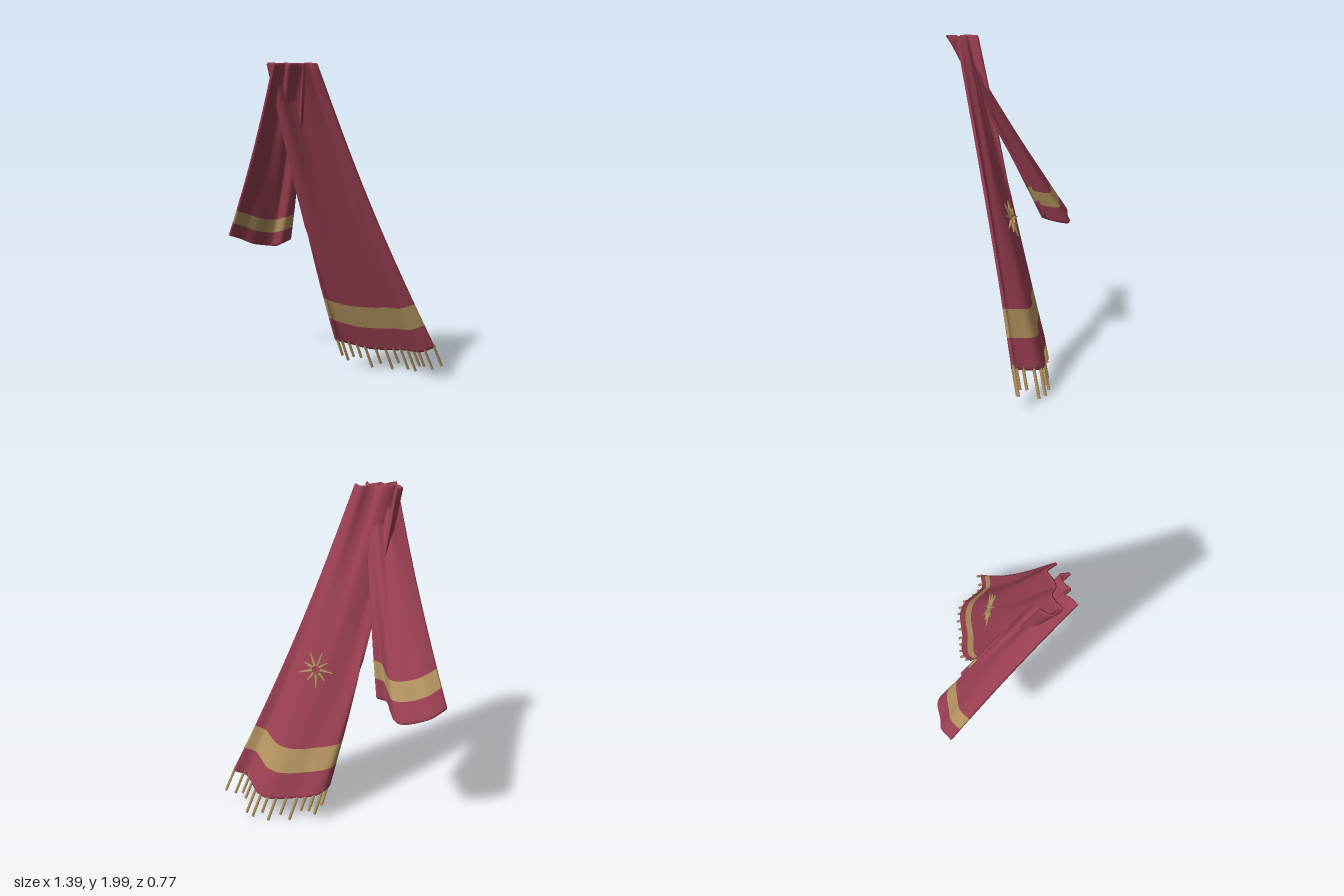
import * as THREE from 'three';

const red = new THREE.MeshStandardMaterial({ color: 0x9a3f52 });
red.name = 'red cloth';
const gold = new THREE.MeshStandardMaterial({ color: 0xb3925f });
gold.name = 'gold thread';

// Draped sheet: point at (u across, v down) between a top and a bottom section
function makeSurface(top, bottom, bow) {
  const curve = (pts) => new THREE.CatmullRomCurve3(pts.map((p) => new THREE.Vector3(...p)));
  const a = curve(top), b = curve(bottom);
  const point = (u, v) => {
    const p = a.getPoint(u).lerp(b.getPoint(u), v);
    p.x += bow * Math.sin(Math.PI * v);
    return p;
  };
  const normal = (u, v) => {
    const e = 0.004;
    const du = point(Math.min(u + e, 1), v).sub(point(Math.max(u - e, 0), v));
    const dv = point(u, Math.min(v + e, 1)).sub(point(u, Math.max(v - e, 0)));
    return dv.cross(du).normalize();
  };
  return { point, normal };
}

// Closed thin shell over a surface, with a gold band near the hem
function makeCloth(name, surf) {
  const N = 60, half = 0.008;
  const rows = [0, 0.004];
  const add = (to, n) => {
    const from = rows[rows.length - 1];
    for (let i = 1; i <= n; i++) rows.push(from + ((to - from) * i) / n);
  };
  add(0.828, 30);
  const bandStart = rows.length - 1;
  add(0.91, 5);
  const bandEnd = rows.length - 1;
  add(0.988, 5);
  add(1, 2);

  const pos = [], idx = [], ring = 2 * (N + 1);
  rows.forEach((v, i) => {
    const t = i === 0 || i === rows.length - 1 ? 0 : half;
    for (let j = 0; j < ring; j++) {
      const front = j <= N;
      const u = (front ? j : ring - 1 - j) / N;
      const p = surf.point(u, v).addScaledVector(surf.normal(u, v), front ? t : -t);
      pos.push(p.x, p.y, p.z);
    }
  });
  for (let i = 0; i < rows.length - 1; i++) {
    for (let j = 0; j < ring; j++) {
      const a = i * ring + j, b = i * ring + ((j + 1) % ring);
      idx.push(a, a + ring, b, b, a + ring, b + ring);
    }
  }
  const g = new THREE.BufferGeometry();
  g.setAttribute('position', new THREE.Float32BufferAttribute(pos, 3));
  g.setIndex(idx);
  g.computeVertexNormals();
  const per = ring * 6;
  g.addGroup(0, bandStart * per, 0);
  g.addGroup(bandStart * per, (bandEnd - bandStart) * per, 1);
  g.addGroup(bandEnd * per, (rows.length - 1 - bandEnd) * per, 0);
  const mesh = new THREE.Mesh(g, [red, gold]);
  mesh.name = name;
  return mesh;
}

// Thin rod from a to b
function rod(name, a, b, r0, r1, sides) {
  const d = b.clone().sub(a);
  const m = new THREE.Mesh(new THREE.CylinderGeometry(r1, r0, d.length(), sides), gold);
  m.position.copy(a).add(b).multiplyScalar(0.5);
  m.quaternion.setFromUnitVectors(new THREE.Vector3(0, 1, 0), d.normalize());
  m.name = name;
  return m;
}

export function createModel() {
  const group = new THREE.Group();
  group.name = 'scarf';

  // Long end, gathered at the top and fanning out to the left
  const longEnd = makeSurface(
    [[-0.25, 2, 0.2], [-0.272, 2, 0.262], [-0.235, 2, 0.305], [-0.2, 2, 0.27], [-0.165, 2, 0.25],
      [-0.125, 2, 0.265], [-0.09, 2, 0.25], [-0.045, 2, 0.215], [-0.02, 2, 0.235], [0, 2, 0.26]],
    [[0.015, 0.235, -0.23], [0.05, 0.21, -0.28], [0.12, 0.187, -0.305], [0.2, 0.168, -0.31], [0.3, 0.156, -0.335],
      [0.38, 0.155, -0.348], [0.45, 0.167, -0.328], [0.52, 0.187, -0.255], [0.57, 0.205, -0.215], [0.65, 0.235, -0.235]],
    -0.03);
  group.add(makeCloth('longEnd', longEnd));

  // Short end, in front at the top and passing behind the long one
  const shortEnd = makeSurface(
    [[-0.205, 2, 0.382], [-0.175, 2, 0.345], [-0.155, 2, 0.312], [-0.125, 2, 0.338],
      [-0.105, 2, 0.31], [-0.085, 2, 0.292], [-0.06, 2, 0.285], [-0.045, 2, 0.332]],
    [[-0.69, 0.89, -0.24], [-0.625, 0.853, -0.305], [-0.56, 0.825, -0.32], [-0.47, 0.81, -0.35],
      [-0.425, 0.812, -0.34], [-0.385, 0.828, -0.28], [-0.335, 0.86, -0.205], [-0.28, 0.888, -0.23]],
    0.015);
  group.add(makeCloth('shortEnd', shortEnd));

  // Fringe along the long hem
  const fringe = new THREE.Group();
  fringe.name = 'fringe';
  const lengths = [0.12, 0.15, 0.11, 0.1, 0.16, 0.12, 0.16, 0.11, 0.16, 0.17, 0.12, 0.12, 0.15, 0.15];
  lengths.forEach((len, i) => {
    const u = 0.03 + (0.965 * i) / (lengths.length - 1);
    const dir = new THREE.Vector3(0.24 + 0.12 * u, -1, -0.27).normalize();
    const a = longEnd.point(u, 0.985);
    fringe.add(rod('strand', a, a.clone().addScaledVector(dir, len + 0.02), 0.009, 0.009, 6));
  });
  group.add(fringe);

  // Embroidered starburst on the back of the long end
  const star = new THREE.Group();
  star.name = 'starburst';
  const u = 0.55, v = 0.57;
  const n = longEnd.normal(u, v).negate();
  const c = longEnd.point(u, v).addScaledVector(n, 0.022);
  const up = longEnd.point(u, v - 0.05).sub(longEnd.point(u, v + 0.05)).normalize();
  const side = up.clone().cross(n);
  for (let i = 0; i < 9; i++) {
    const t = (i / 9) * Math.PI * 2;
    const d = up.clone().multiplyScalar(Math.cos(t)).addScaledVector(side, Math.sin(t));
    const outer = i % 2 ? 0.085 : 0.11;
    star.add(rod('ray', c.clone().addScaledVector(d, 0.025), c.clone().addScaledVector(d, outer), 0.011, 0.004, 5));
  }
  group.add(star);

  return group;
}
